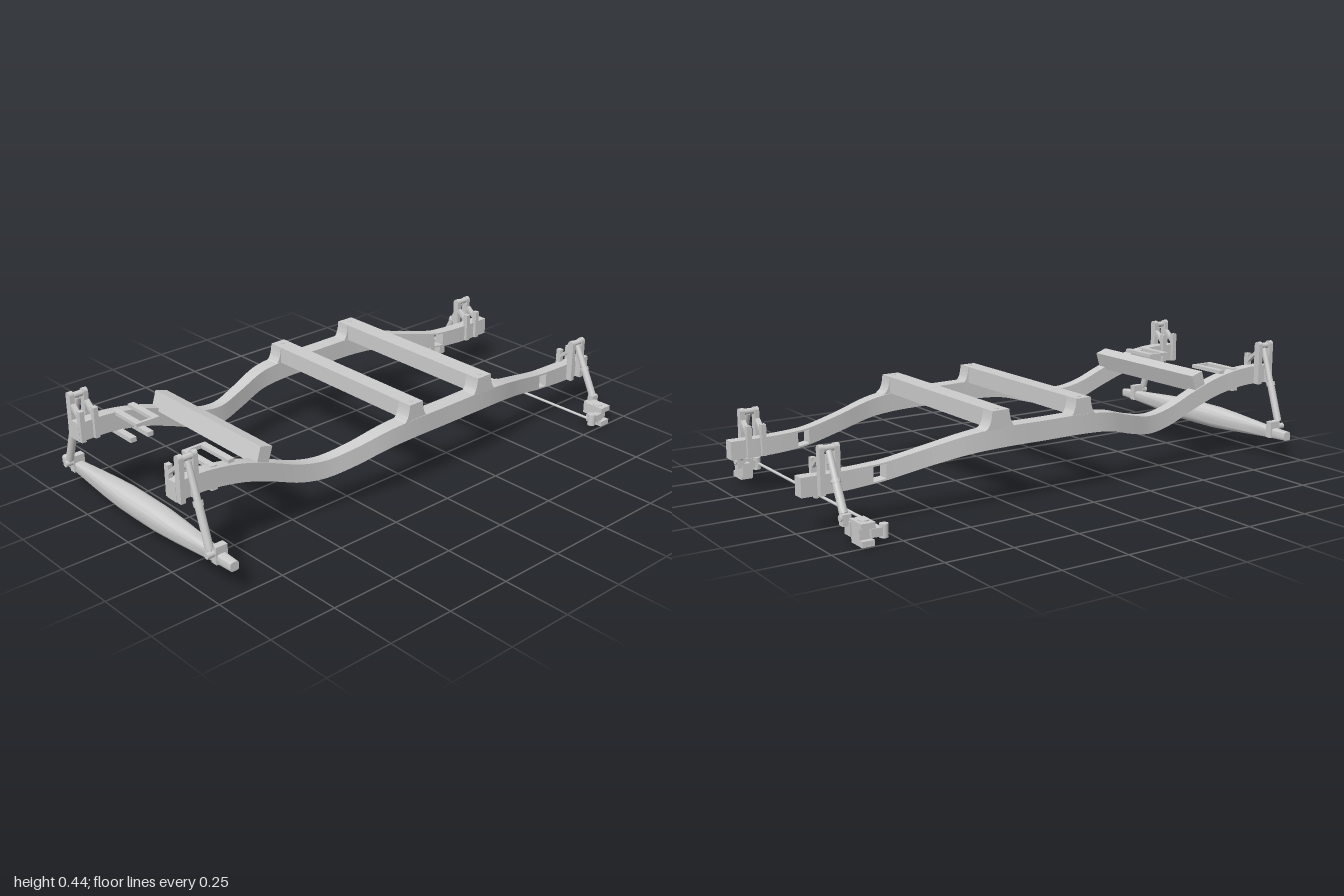
import * as THREE from 'three';
import { toCreasedNormals } from 'three/addons/utils/BufferGeometryUtils.js';

const material = new THREE.MeshStandardMaterial({ color: 0xcccccc });
const V = (x, y, z) => new THREE.Vector3(x, y, z);

export function createModel() {
  const model = new THREE.Group();
  model.name = 'vehicleChassis';

  function add(name, geometry) {
    const mesh = new THREE.Mesh(geometry, material);
    mesh.name = name;
    model.add(mesh);
    return mesh;
  }

  // Box from its limits on each axis
  function box(name, x0, x1, y0, y1, z0, z1) {
    const mesh = add(name, new THREE.BoxGeometry(x1 - x0, y1 - y0, Math.abs(z1 - z0)));
    mesh.position.set((x0 + x1) / 2, (y0 + y1) / 2, (z0 + z1) / 2);
    return mesh;
  }

  // Cylinder between two points
  function rod(name, a, b, r, r2 = r) {
    const mesh = add(name, new THREE.CylinderGeometry(r2, r, a.distanceTo(b), 20));
    mesh.position.copy(a).lerp(b, 0.5);
    mesh.quaternion.setFromUnitVectors(V(0, 1, 0), b.clone().sub(a).normalize());
    return mesh;
  }

  // Closed skin over a row of equal-sized cross-sections
  function loft(name, rings) {
    const n = rings[0].length, index = [], last = (rings.length - 1) * n;
    for (let i = 0; i < rings.length - 1; i++)
      for (let j = 0; j < n; j++) {
        const a = i * n + j, b = i * n + (j + 1) % n;
        index.push(a, b, b + n, a, b + n, a + n);
      }
    for (let j = 1; j < n - 1; j++) index.push(0, j + 1, j, last, last + j, last + j + 1);
    const geometry = new THREE.BufferGeometry().setFromPoints(rings.flat());
    geometry.setIndex(index);
    return add(name, toCreasedNormals(geometry, 0.6));
  }

  // Side rail stations: x, centre y, centre z, height, width
  const stations = [
    [-1, 0.313, 0.278, 0.068, 0.044], [-0.88, 0.313, 0.278, 0.068, 0.044],
    [-0.74, 0.29, 0.278, 0.068, 0.044], [-0.62, 0.25, 0.279, 0.068, 0.044],
    [-0.5, 0.204, 0.282, 0.068, 0.044], [-0.4, 0.189, 0.292, 0.067, 0.046],
    [-0.29, 0.209, 0.318, 0.068, 0.05], [-0.17, 0.241, 0.343, 0.069, 0.056],
    [-0.06, 0.251, 0.35, 0.07, 0.06], [0.12, 0.251, 0.35, 0.07, 0.06],
    [0.3, 0.25, 0.348, 0.07, 0.06], [0.42, 0.238, 0.337, 0.066, 0.053],
    [0.56, 0.208, 0.307, 0.062, 0.046], [0.7, 0.179, 0.285, 0.062, 0.044],
    [0.745, 0.174, 0.281, 0.063, 0.044], [0.85, 0.168, 0.278, 0.066, 0.044],
    [1, 0.168, 0.278, 0.066, 0.044]];
  const centre = new THREE.CatmullRomCurve3(stations.map(p => V(p[0], p[1], p[2])));
  const size = new THREE.CatmullRomCurve3(stations.map(p => V(p[0], p[3], p[4])));

  // Stretch of rail between two stations, between two fractions of its height
  function railPart(s, from, to, low, high) {
    const rings = [], steps = (to - from) * 5;
    for (let i = 0; i <= steps; i++) {
      const t = (from + i / 5) / (stations.length - 1);
      const c = centre.getPoint(t), e = size.getPoint(t);
      const y0 = c.y + (low - 0.5) * e.y, y1 = c.y + (high - 0.5) * e.y;
      const z0 = c.z * s - e.z / 2, z1 = c.z * s + e.z / 2;
      rings.push([V(c.x, y1, z1), V(c.x, y0, z1), V(c.x, y0, z0), V(c.x, y1, z0)]);
    }
    loft('sideRail', rings);
  }

  // Shock absorber with eyes at both ends
  function shock(name, a, b) {
    const at = t => a.clone().lerp(b, t);
    rod(name + 'Body', at(0.06), at(0.55), 0.014);
    rod(name + 'Cover', at(0.52), at(0.96), 0.012, 0.0105);
    rod(name + 'Collar', at(0.5), at(0.55), 0.017);
    rod(name + 'Shaft', a, b, 0.007);
    for (const p of [a, b])
      rod(name + 'Eye', p.clone().setX(p.x - 0.018), p.clone().setX(p.x + 0.018), 0.011);
  }

  // Pair of upright plates around the rail that carries a shock
  function shockTower(s, x, railBottom) {
    for (const dx of [-0.027, 0.027]) {
      const x0 = x + dx - 0.009, x1 = x + dx + 0.009, y = railBottom;
      box('towerPost', x0, x1, y, y + 0.155, s * 0.298, s * 0.324);
      rod('towerPostTop', V(x0, y + 0.152, s * 0.311), V(x1, y + 0.152, s * 0.311), 0.013);
      box('towerInnerPost', x0, x1, y, y + 0.113, s * 0.243, s * 0.263);
      const brace = box('towerBrace', x0, x1, y + 0.095, y + 0.107, s * 0.247, s * 0.307);
      brace.rotation.x = -s * 0.72;
    }
  }

  for (const s of [1, -1]) {
    // Rails, with a slot near the front end
    railPart(s, 0, 13, 0, 1);
    railPart(s, 13, 14, 0, 0.1);
    railPart(s, 13, 14, 0.9, 1);
    railPart(s, 14, 16, 0, 1);

    // Shock towers and shocks
    shockTower(s, -0.963, 0.28);
    shockTower(s, 0.908, 0.137);
    shock('rearShock', V(-0.96, 0.128, s * 0.412), V(-0.96, 0.428, s * 0.311));
    shock('frontShock', V(0.908, 0.085, s * 0.412), V(0.908, 0.288, s * 0.311));
    box('rearShockMount', -0.95, -0.905, 0.09, 0.152, s * 0.4, s * 0.426);

    // Inner mounts: an upper U-shaped frame and lower arms
    for (const x of [-0.842, -0.773]) {
      box('upperMountArm', x - 0.012, x + 0.012, 0.333, 0.346, s * 0.135, s * 0.285);
      box('lowerMountArm', x - 0.012, x + 0.012, 0.259, 0.276, s * 0.172, s * 0.285);
    }
    box('upperMountBar', -0.854, -0.761, 0.333, 0.346, s * 0.128, s * 0.14);

    // Front steering knuckle, steering arm and lower shock mount
    rod('knucklePin', V(0.87, 0.005, s * 0.465), V(0.87, 0.088, s * 0.465), 0.018);
    box('knuckleTop', 0.848, 0.898, 0.065, 0.085, s * 0.425, s * 0.503);
    box('knuckleBottom', 0.852, 0.896, 0.008, 0.028, s * 0.432, s * 0.503);
    box('knuckleBack', 0.85, 0.896, 0.01, 0.084, s * 0.43, s * 0.485);
    box('steeringArm', 0.812, 0.86, 0.033, 0.062, s * 0.474, s * 0.498);
    rod('steeringArmEnd', V(0.811, 0.025, s * 0.486), V(0.811, 0.07, s * 0.486), 0.015);
    box('frontShockArm', 0.872, 0.902, 0.028, 0.076, s * 0.397, s * 0.435);
    box('frontShockMount', 0.89, 0.921, 0.06, 0.098, s * 0.4, s * 0.425);
  }

  // Middle cross members with flared feet and bolts on the rails
  for (const [x, half] of [[-0.042, 0.031], [0.302, 0.034]]) {
    box('crossMember', x - half, x + half, 0.283, 0.345, -0.378, 0.378);
    const foot = new THREE.Shape();
    foot.moveTo(x - half - 0.03, 0.28);
    foot.lineTo(x + half + 0.03, 0.28);
    foot.quadraticCurveTo(x + half + 0.004, 0.287, x + half, 0.344);
    foot.lineTo(x - half, 0.344);
    foot.quadraticCurveTo(x - half - 0.004, 0.287, x - half - 0.03, 0.28);
    for (const s of [1, -1]) {
      const geometry = new THREE.ExtrudeGeometry(foot, { depth: 0.057, bevelEnabled: false });
      add('crossMemberFoot', toCreasedNormals(geometry, 0.6)).position.z = s * 0.35 - 0.0285;
      rod('crossMemberBolt', V(x, 0.34, s * 0.35), V(x, 0.347, s * 0.35), 0.008);
    }
  }

  // Tilted rear cross member with a raised lip
  const rear = box('rearCrossMember', -0.673, -0.623, 0.285, 0.351, -0.295, 0.295);
  rear.rotation.z = -0.3;

  // Rear axle: flat ends swelling to a rounded middle
  const axleStations = [[-0.49, 0.016, 0.016, 5], [-0.4, 0.018, 0.02, 5], [-0.3, 0.026, 0.027, 4],
    [-0.2, 0.035, 0.035, 3], [-0.1, 0.041, 0.042, 2.6], [0, 0.042, 0.043, 2.5]];
  const mirrored = axleStations.slice(0, -1).reverse().map(([z, ...rest]) => [-z, ...rest]);
  const power = (v, n) => Math.sign(v) * Math.abs(v) ** (2 / n);
  loft('rearAxle', [...axleStations, ...mirrored].map(([z, w, h, n]) =>
    Array.from({ length: 32 }, (_, j) => {
      const a = (j + 0.5) / 32 * Math.PI * 2;
      return V(-0.928 + w * power(Math.cos(a), n), 0.107 + h * power(Math.sin(a), n), z);
    })));

  // Tie rod with a centre collar
  rod('tieRod', V(0.807, 0.047, -0.486), V(0.807, 0.047, 0.486), 0.005);
  rod('tieRodCollar', V(0.807, 0.047, -0.01), V(0.807, 0.047, 0.01), 0.011);
  box('tieRodClamp', 0.8, 0.814, 0.032, 0.05, -0.009, 0.009);

  return model;
}
